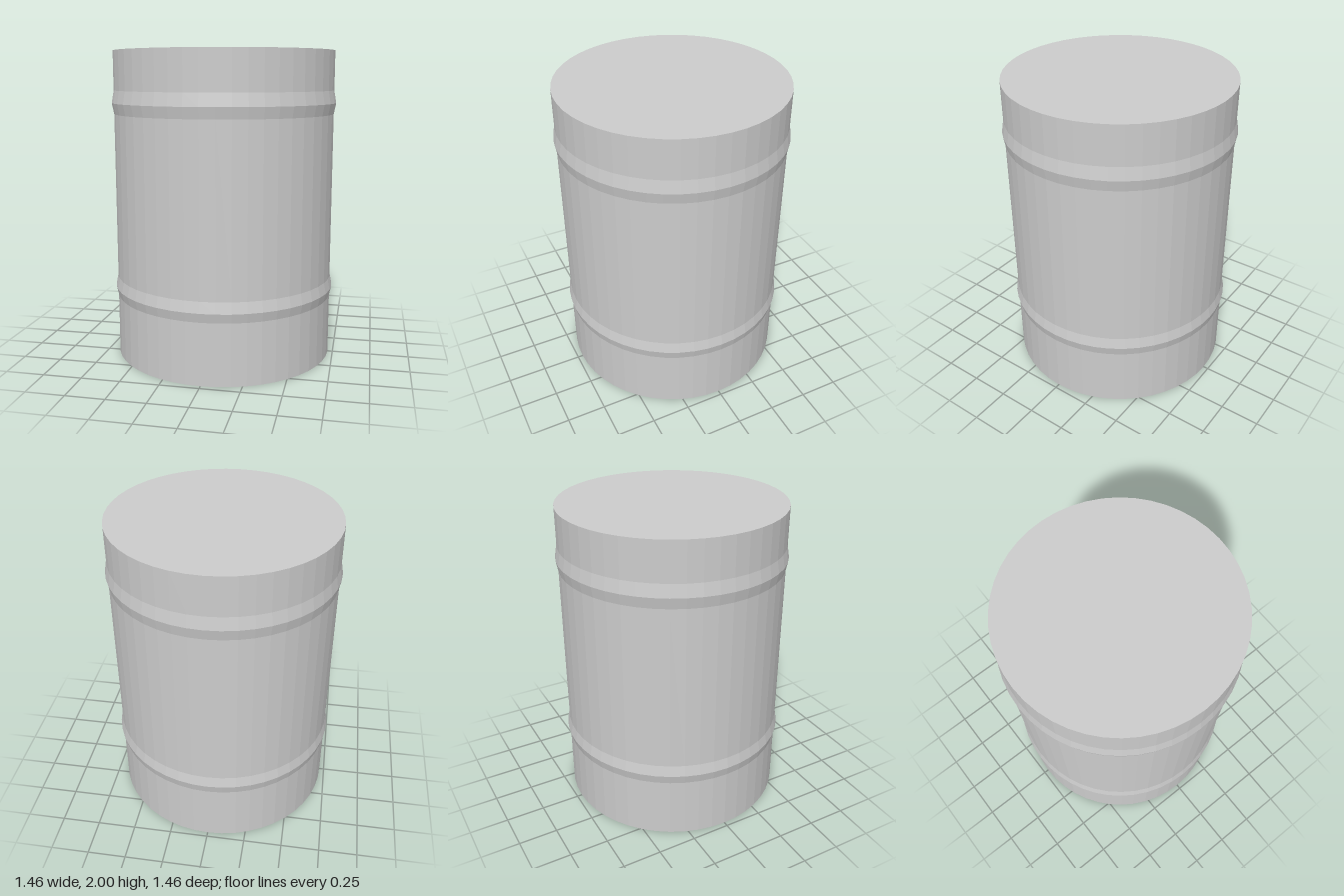
import * as THREE from 'three';

const SIDES = 48, BODY_RADIUS = 0.717, RIB_RADIUS = 0.731, HEIGHT = 2;

// Each rolling rib: lower edge, crest and upper edge heights
const RIBS = [[0.4, 0.46, 0.53], [1.6, 1.67, 1.75]];

export function createModel() {
  const group = new THREE.Group();
  group.name = 'drum';
  const material = new THREE.MeshStandardMaterial({ color: 0xcccccc, flatShading: true });

  // Drum wall with two pointed ribs
  const profile = [new THREE.Vector2(BODY_RADIUS, 0)];
  for (const [low, crest, high] of RIBS) {
    profile.push(
      new THREE.Vector2(BODY_RADIUS, low),
      new THREE.Vector2(RIB_RADIUS, crest),
      new THREE.Vector2(BODY_RADIUS, high)
    );
  }
  profile.push(new THREE.Vector2(BODY_RADIUS, HEIGHT));
  const wall = new THREE.Mesh(new THREE.LatheGeometry(profile, SIDES), material);
  wall.name = 'drumWall';
  group.add(wall);

  // Flat lid and base
  for (const [name, y, tilt] of [['lid', HEIGHT, -Math.PI / 2], ['base', 0, Math.PI / 2]]) {
    const disc = new THREE.Mesh(new THREE.CircleGeometry(BODY_RADIUS, SIDES), material);
    disc.name = name;
    disc.rotation.x = tilt;
    disc.position.y = y;
    group.add(disc);
  }
  return group;
}
